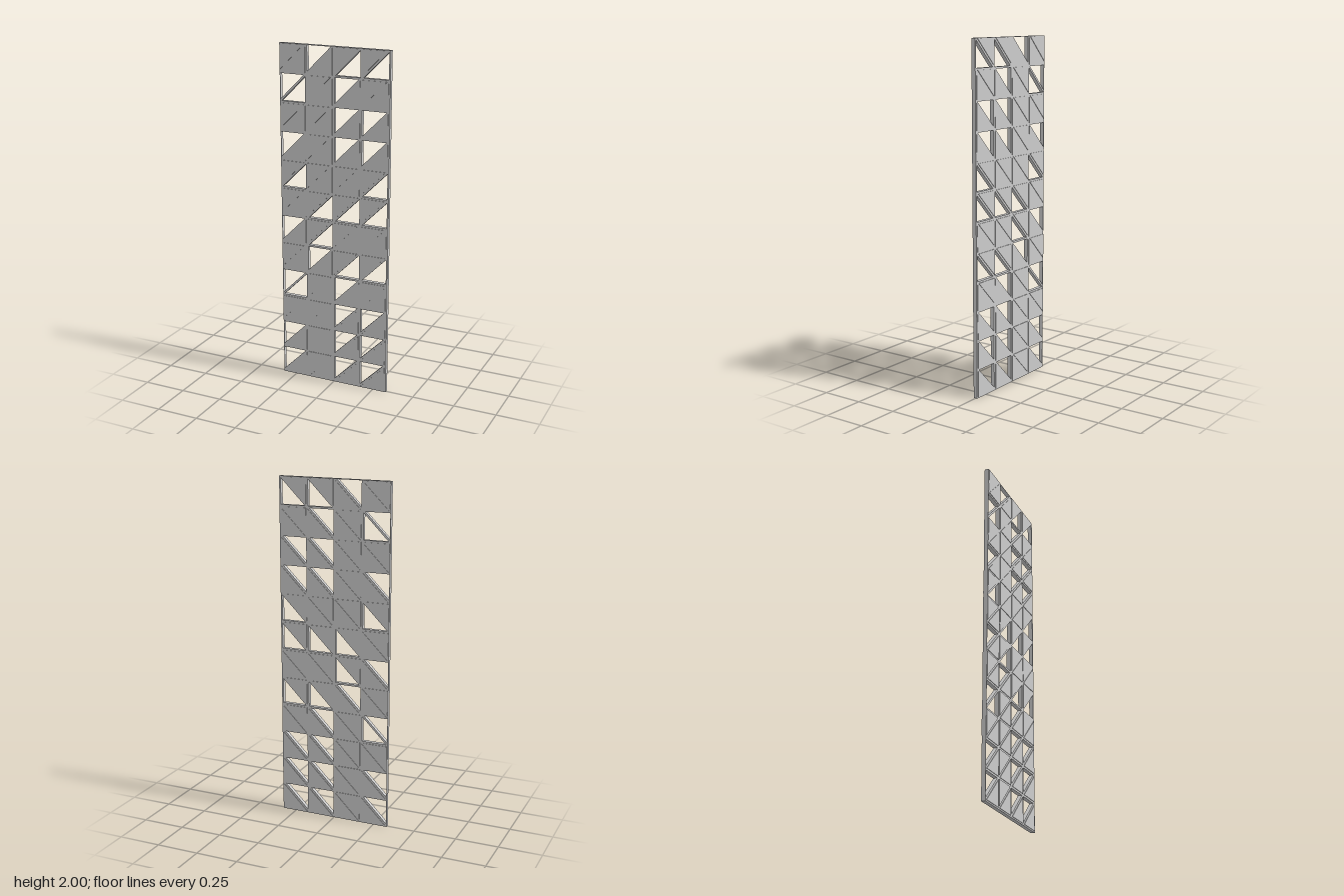
import * as THREE from 'three';

const CELL = 1 / 6, COLS = 4, ROWS = 12;
const FRAME_DEPTH = 0.024, PANEL_DEPTH = 0.03;

// Open triangles per cell, rows from the top:
// U = upper-left open, L = lower-right open, B = both open, . = closed
const PATTERN = [
  '.ULL', 'B.U.', '..UU', 'U.UU', 'L..L', '.LLL',
  'UL..', '.ULL', 'B.U.', '..UU', 'U.UU', 'U.UU',
];

// Triangles inside one cell, counter-clockwise
const TRIANGLES = {
  U: [[0.003, 0.019], [0.148, CELL - 0.003], [0.003, CELL - 0.003]],
  L: [[0.009, 0.008], [CELL - 0.009, 0.008], [CELL - 0.009, CELL - 0.01]],
};

function extrude(shape, depth) {
  const geometry = new THREE.ExtrudeGeometry(shape, { depth, bevelEnabled: false });
  return geometry.translate(0, 0, -depth / 2);
}

export function createModel() {
  const group = new THREE.Group();
  group.name = 'latticeScreen';
  const material = new THREE.MeshStandardMaterial({ color: 0xcccccc, flatShading: true });

  const w = COLS * CELL / 2, h = ROWS * CELL;
  const frameShape = new THREE.Shape([[-w, 0], [w, 0], [w, h], [-w, h]].map(p => new THREE.Vector2(...p)));
  const panels = new THREE.Group();
  panels.name = 'triangularPanels';

  for (let row = 0; row < ROWS; row++) {
    for (let col = 0; col < COLS; col++) {
      const x = -w + col * CELL, y = h - (row + 1) * CELL;
      const state = PATTERN[row][col];
      for (const kind of ['U', 'L']) {
        const points = TRIANGLES[kind].map(([px, py]) => new THREE.Vector2(x + px, y + py));
        frameShape.holes.push(new THREE.Path(points.slice().reverse()));
        if (state === kind || state === 'B') continue;
        // Closed triangle: a panel standing slightly proud of the frame
        const panel = new THREE.Mesh(extrude(new THREE.Shape(points), PANEL_DEPTH), material);
        panel.name = kind === 'U' ? 'upperPanel' : 'lowerPanel';
        panels.add(panel);
      }
    }
  }

  // Thin grid with a diagonal bar across each cell
  const frame = new THREE.Mesh(extrude(frameShape, FRAME_DEPTH), material);
  frame.name = 'latticeFrame';
  group.add(frame, panels);
  return group;
}
